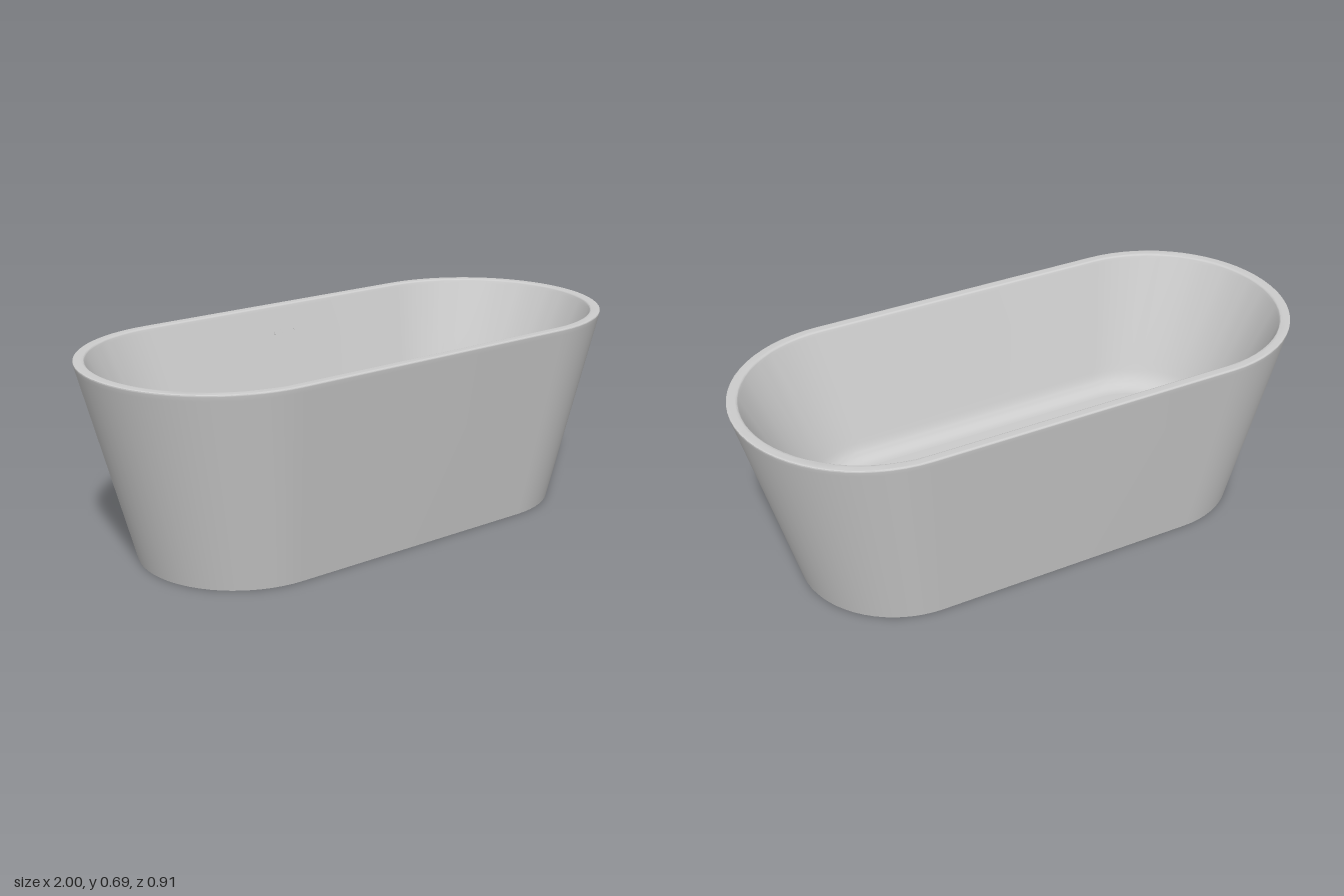
import * as THREE from 'three';
import { toCreasedNormals } from 'three/addons/utils/BufferGeometryUtils.js';

const ARC = 32; // segments in each rounded end
const HEIGHT = 0.685, FLOOR = 0.22, UNDERSIDE = 0.19;

// Stadium outline: straight sides with two half-round ends
function stadium(halfX, halfZ) {
  const points = [];
  for (const side of [1, -1]) {
    for (let i = 0; i <= ARC; i++) {
      const a = -Math.PI / 2 + (Math.PI * i) / ARC;
      points.push(new THREE.Vector2(
        side * (halfX - halfZ + halfZ * Math.cos(a)), side * halfZ * Math.sin(a)));
    }
  }
  return points;
}

// Skin a list of stadium sections; each section is (half length, height, half width)
function loft(sections) {
  const positions = [], index = [];
  const n = 2 * (ARC + 1);
  sections.forEach((s) => {
    for (const p of stadium(s.x, s.z)) positions.push(p.x, s.y, p.y);
  });
  for (let i = 0; i < sections.length - 1; i++) {
    for (let j = 0; j < n; j++) {
      const k = (j + 1) % n;
      const a = i * n + j, b = i * n + k, c = a + n, d = b + n;
      index.push(a, c, b, b, c, d);
    }
  }
  const geometry = new THREE.BufferGeometry();
  geometry.setAttribute('position', new THREE.Float32BufferAttribute(positions, 3));
  geometry.setIndex(index);
  return toCreasedNormals(geometry, 0.6);
}

// Flat stadium panel with a round hole, facing up or down
function panel(halfX, halfZ, hole, y, up) {
  const shape = new THREE.Shape(stadium(halfX, halfZ));
  shape.holes.push(new THREE.Path().absarc(0, 0, hole, 0, Math.PI * 2, true));
  const geometry = new THREE.ShapeGeometry(shape, 24);
  geometry.rotateX(up ? -Math.PI / 2 : Math.PI / 2);
  return geometry.translate(0, y, 0);
}

export function createModel() {
  const group = new THREE.Group();
  const material = new THREE.MeshStandardMaterial({ color: 0xcccccc });
  const add = (name, geometry) => {
    const mesh = new THREE.Mesh(geometry, material);
    mesh.name = name;
    group.add(mesh);
    return mesh;
  };
  const v = (x, y, z) => new THREE.Vector3(x, y, z);
  const bend = (a, b, c, n) => new THREE.QuadraticBezierCurve3(a, b, c).getPoints(n);

  // Tub wall: hollow foot, outer side, softened rim, sloping basin
  const outerBottom = v(0.815, 0, 0.342), outerTop = v(1, HEIGHT, 0.458);
  const innerTop = v(0.964, HEIGHT, 0.424), innerBottom = v(0.75, FLOOR, 0.285);
  const outer = (t) => outerBottom.clone().lerp(outerTop, t);
  const inner = (t) => innerTop.clone().lerp(innerBottom, t);
  const floorEdge = v(0.7, FLOOR, 0.235);
  add('tubShell', loft([
    v(0.815, UNDERSIDE, 0.325),
    v(0.765, 0, 0.292),
    outerBottom,
    outer(0.97),
    ...bend(outer(0.99), outerTop, v(0.994, HEIGHT, 0.452), 4),
    v(0.99, HEIGHT, 0.448),
    v(0.974, HEIGHT, 0.434),
    ...bend(v(0.97, HEIGHT, 0.43), innerTop, inner(0.012), 4),
    inner(0.03),
    inner(0.82),
    ...bend(inner(0.87), innerBottom, floorEdge, 10),
  ]));

  // Basin floor and its underside
  add('basinFloor', panel(floorEdge.x, floorEdge.z, 0.05, FLOOR, true));
  add('floorUnderside', panel(0.815, 0.325, 0.042, UNDERSIDE, false));

  // Two flat braces across the open foot
  for (const side of [1, -1]) {
    const brace = add(side > 0 ? 'leftBrace' : 'rightBrace',
      new THREE.BoxGeometry(0.095, 0.01, 0.584));
    brace.position.set(side * 0.2825, 0.005, 0);
  }

  // Drain ring with an open throat
  const drainProfile = [
    [0.031, 0.212], [0.031, 0.175], [0.046, 0.175], [0.046, 0.205], [0.053, 0.218],
    [0.053, 0.223], [0.044, 0.223], [0.04, 0.212], [0.031, 0.212],
  ].map(([x, y]) => new THREE.Vector2(x, y));
  add('drain', toCreasedNormals(new THREE.LatheGeometry(drainProfile, 40), 0.5));

  // Overflow slot: slim frame lying on the back wall of the basin
  const slotOutline = (halfX, halfY) => stadium(halfX, halfY);
  const slot = new THREE.Shape(slotOutline(0.046, 0.009));
  slot.holes.push(new THREE.Path(slotOutline(0.042, 0.005).reverse()));
  const overflow = add('overflowSlot',
    new THREE.ExtrudeGeometry(slot, { depth: 0.004, bevelEnabled: false }));
  const at = inner(0.2);
  overflow.position.set(0, at.y, -at.z - 0.002);
  overflow.rotation.x = -Math.atan2(innerTop.z - innerBottom.z, HEIGHT - FLOOR);

  return group;
}
